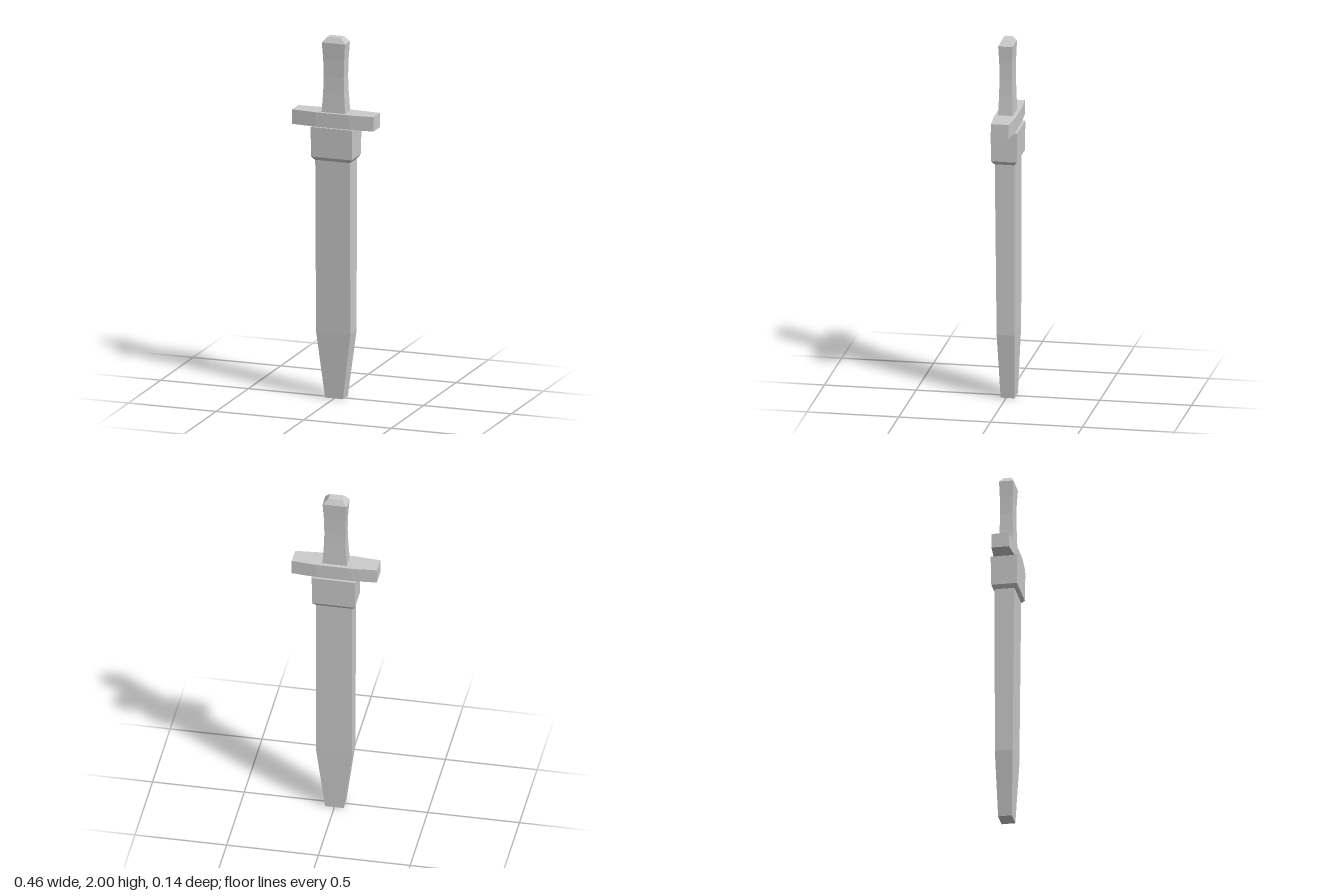
import * as THREE from 'three';

const material = new THREE.MeshStandardMaterial({ color: 0xcccccc, flatShading: true });

// Closed solid through rectangular sections [y, halfWidth, zBack, zFront], listed bottom to top
function rectLoft(name, sections) {
  const positions = [];
  const index = [];
  for (const [y, w, back, front] of sections) {
    positions.push(-w, y, front, w, y, front, w, y, back, -w, y, back);
  }
  for (let i = 0; i < sections.length - 1; i++) {
    for (let j = 0; j < 4; j++) {
      const a = i * 4 + j;
      const b = i * 4 + (j + 1) % 4;
      index.push(a, b, b + 4, a, b + 4, a + 4);
    }
  }
  const t = (sections.length - 1) * 4;
  index.push(0, 2, 1, 0, 3, 2, t, t + 1, t + 2, t, t + 2, t + 3);

  const indexed = new THREE.BufferGeometry();
  indexed.setAttribute('position', new THREE.Float32BufferAttribute(positions, 3));
  indexed.setIndex(index);
  const geometry = indexed.toNonIndexed();
  geometry.computeVertexNormals();
  const mesh = new THREE.Mesh(geometry, material);
  mesh.name = name;
  return mesh;
}

// Crossguard: plan outline, widest in the middle and tapering to both ends
function createGuard() {
  const outline = [
    [-0.232, -0.048], [-0.095, -0.059], [0.095, -0.059], [0.232, -0.048],
    [0.232, 0.048], [0.095, 0.059], [-0.095, 0.059], [-0.232, 0.048],
  ].map(([x, z]) => new THREE.Vector2(x, z));
  const geometry = new THREE.ExtrudeGeometry(new THREE.Shape(outline), { depth: 0.08, bevelEnabled: false });
  geometry.rotateX(-Math.PI / 2);
  const guard = new THREE.Mesh(geometry, material);
  guard.name = 'guard';
  guard.position.y = 1.505;
  return guard;
}

export function createModel() {
  const group = new THREE.Group();
  group.name = 'sheathedDagger';

  group.add(
    // Long sheath, tapering to a blunt tip
    rectLoft('sheath', [
      [0, 0.051, -0.045, 0.03],
      [0.365, 0.098, -0.054, 0.043],
      [1.325, 0.099, -0.055, 0.053],
    ]),
    // Sheath mouth with a chamfered lower edge
    rectLoft('sheathCollar', [
      [1.32, 0.1, -0.055, 0.055],
      [1.34, 0.116, -0.07, 0.07],
      [1.505, 0.119, -0.073, 0.072],
    ]),
    createGuard(),
    // Waisted grip with a bevelled pommel
    rectLoft('grip', [
      [1.585, 0.067, -0.038, 0.041],
      [1.69, 0.06, -0.035, 0.037],
      [1.78, 0.057, -0.033, 0.035],
      [1.88, 0.06, -0.034, 0.036],
      [1.97, 0.066, -0.037, 0.041],
      [2, 0.039, -0.02, 0.025],
    ]),
  );
  return group;
}
